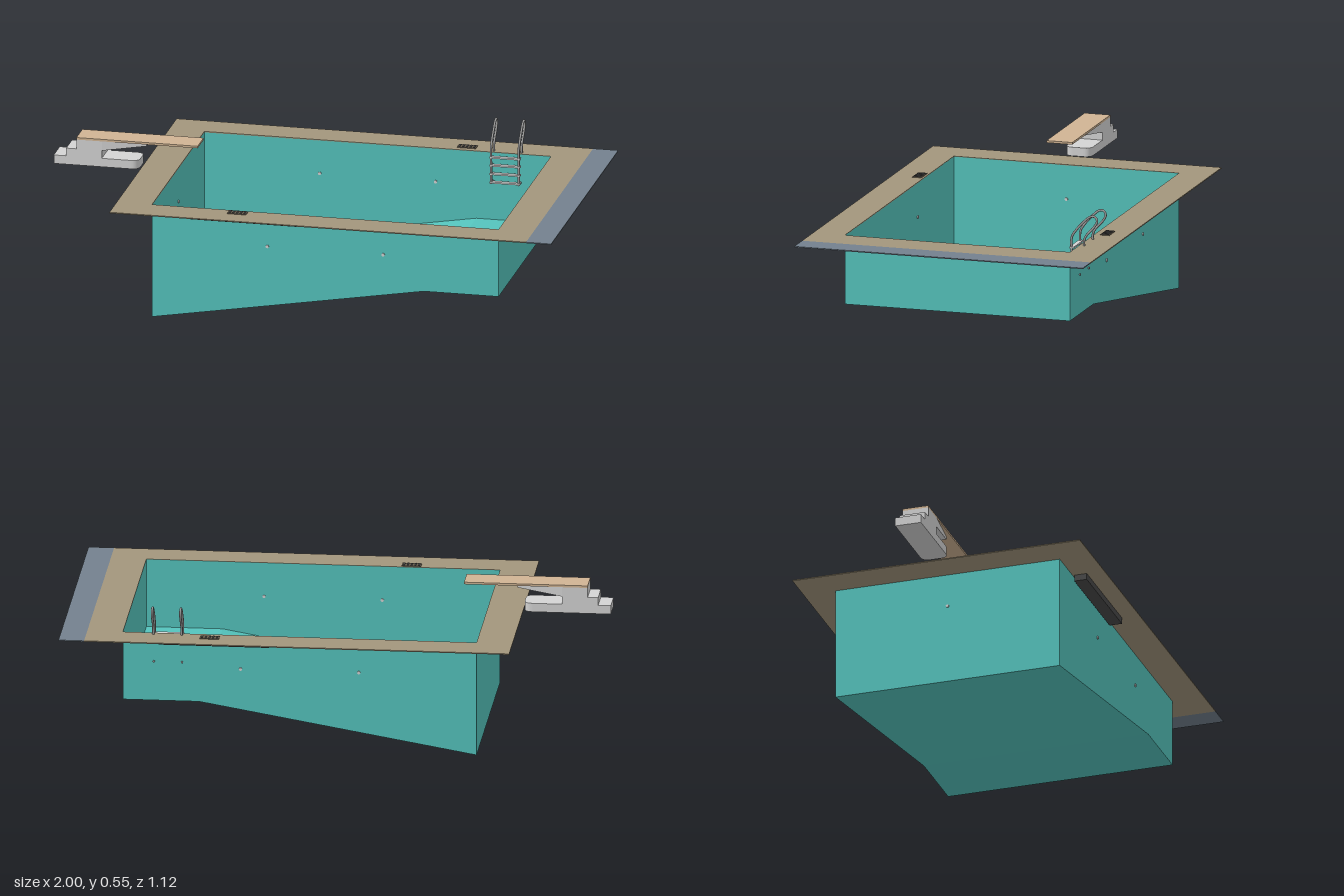
import * as THREE from 'three';

const mat = (name, color, side = THREE.FrontSide) => {
  const m = new THREE.MeshStandardMaterial({ color, side });
  m.name = name;
  return m;
};

export function createModel() {
  const group = new THREE.Group();
  const teal = mat('pool teal', 0x55c4bd, THREE.DoubleSide);
  const stone = mat('deck stone', 0xa3967c);
  const slate = mat('slate', 0x74818e);
  const white = mat('stand white', 0xd4d4d4);
  const wood = mat('board tan', 0xd0b494);
  const metal = mat('metal', 0x9a9a9a);
  const dark = mat('drain dark', 0x4a4a4a);
  const grate = mat('grate brown', 0x675e4f);

  const add = (name, geo, material, x = 0, y = 0, z = 0, parent = group) => {
    const mesh = new THREE.Mesh(geo, material);
    mesh.name = name;
    mesh.position.set(x, y, z);
    parent.add(mesh);
    return mesh;
  };
  const box = (name, m, x0, x1, y0, y1, z0, z1, parent) =>
    add(name, new THREE.BoxGeometry(x1 - x0, y1 - y0, z1 - z0), m,
      (x0 + x1) / 2, (y0 + y1) / 2, (z0 + z1) / 2, parent);
  const polygon = (pts) => new THREE.Shape(pts.map(([x, y]) => new THREE.Vector2(x, y)));
  const rect = (x0, x1, y0, y1) => [[x0, y0], [x1, y0], [x1, y1], [x0, y1]];

  const top = 0.436, x0 = -0.54, x1 = 0.773, half = 0.437;

  // Pool shell: open at the top, with a sloping floor
  const profile = [[x0, top], [x0, 0], [0.49, 0.175], [x1, 0.175], [x1, top]];
  for (const s of [-1, 1]) {
    add(s > 0 ? 'frontWall' : 'backWall', new THREE.ShapeGeometry(polygon(profile)), teal, 0, 0, s * half);
  }
  ['deepEndWall', 'slopedFloor', 'shallowFloor', 'shallowEndWall'].forEach((name, i) => {
    const [ax, ay] = profile[i], [bx, by] = profile[i + 1];
    const geo = new THREE.BufferGeometry();
    geo.setAttribute('position', new THREE.Float32BufferAttribute(
      [ax, ay, half, bx, by, half, bx, by, -half, ax, ay, -half], 3));
    geo.setIndex([0, 1, 2, 0, 2, 3]);
    geo.computeVertexNormals();
    add(name, geo, teal);
  });

  // Paved surround and slate strip
  const surround = polygon(rect(-0.673, 0.905, -0.56, 0.56));
  surround.holes.push(polygon(rect(x0, x1, -half, half)));
  const deckGeo = new THREE.ExtrudeGeometry(surround, { depth: 0.004, bevelEnabled: false });
  add('deck', deckGeo.rotateX(-Math.PI / 2), stone, 0, top - 0.003, 0);
  box('slateStrip', slate, 0.905, 1, top - 0.003, top + 0.001, -0.56, 0.56);

  // Drain troughs under the deck, each with a slotted grate above
  for (const [name, s, cx, gx, gz] of [['front', 1, -0.185, -0.21, 0.463], ['back', -1, 0.43, 0.447, -0.478]]) {
    box(name + 'Trough', dark, cx - 0.205, cx + 0.205, 0.409, top - 0.003,
      Math.min(s * 0.444, s * 0.492), Math.max(s * 0.444, s * 0.492));
    box(name + 'GratePlate', grate, gx - 0.036, gx + 0.036, top, top + 0.003, gz - 0.018, gz + 0.018);
    for (let i = -2; i <= 2; i++) {
      box(name + 'GrateBar', dark, gx + i * 0.014 - 0.003, gx + i * 0.014 + 0.003,
        top + 0.002, top + 0.005, gz - 0.014, gz + 0.014);
    }
  }

  // Diving board: rounded base, steps, tapered bracket and plank
  const diving = new THREE.Group();
  diving.name = 'divingBoard';
  group.add(diving);
  const w = 0.05;
  const basePlan = new THREE.Shape();
  basePlan.moveTo(-1, -w);
  basePlan.lineTo(-0.71, -w);
  basePlan.quadraticCurveTo(-0.678, -w, -0.678, -0.02);
  basePlan.lineTo(-0.678, 0.02);
  basePlan.quadraticCurveTo(-0.678, w, -0.71, w);
  basePlan.lineTo(-1, w);
  const baseGeo = new THREE.ExtrudeGeometry(basePlan, { depth: 0.033, bevelEnabled: false });
  add('base', baseGeo.rotateX(-Math.PI / 2), white, 0, 0.437, 0, diving);
  box('lowerStep', white, -0.953, -0.818, 0.47, 0.5, -w, w, diving);
  box('upperStep', white, -0.914, -0.818, 0.5, 0.536, -w, w, diving);
  const bracket = new THREE.ExtrudeGeometry(
    polygon([[-0.818, 0.5], [-0.652, 0.524], [-0.652, 0.536], [-0.818, 0.536]]),
    { depth: 2 * w, bevelEnabled: false }).translate(0, 0, -w);
  const p = bracket.attributes.position;
  for (let i = 0; i < p.count; i++) if (p.getX(i) > -0.7) p.setZ(i, p.getZ(i) * 0.65);
  bracket.computeVertexNormals();
  add('bracket', bracket, white, 0, 0, 0, diving);
  box('plank', wood, -0.914, -0.455, 0.536, 0.544, -w, w, diving);

  // Ladder: two looped rails, treads and wall anchors
  const ladder = new THREE.Group();
  ladder.name = 'ladder';
  group.add(ladder);
  const railPath = [[0.325, -0.407], [0.4, -0.407], [0.465, -0.407], [0.49, -0.421], [0.53, -0.457],
    [0.549, -0.482], [0.547, -0.499], [0.531, -0.505], [0.51, -0.494], [0.475, -0.463], [0.455, -0.455], [0.437, -0.455]];
  for (const x of [0.553, 0.658]) {
    const curve = new THREE.CatmullRomCurve3(railPath.map(([y, z]) => new THREE.Vector3(x, y, z)));
    add('rail', new THREE.TubeGeometry(curve, 48, 0.0045, 8), metal, 0, 0, 0, ladder);
    add('anchor', new THREE.CylinderGeometry(0.004, 0.004, 0.037, 10).rotateX(Math.PI / 2), metal, x, 0.326, -0.424, ladder);
  }
  for (const y of [0.33, 0.363, 0.396, 0.427]) {
    box('tread', white, 0.548, 0.664, y - 0.003, y + 0.003, -0.417, -0.4, ladder);
  }

  // Water jets set through the walls
  const jet = (x, z, alongX) => {
    const geo = new THREE.CylinderGeometry(0.006, 0.006, 0.008, 16);
    if (alongX) geo.rotateZ(Math.PI / 2); else geo.rotateX(Math.PI / 2);
    add('waterJet', geo, white, x, 0.306, z);
  };
  for (const s of [-1, 1]) for (const x of [-0.103, 0.336]) jet(x, s * half, false);
  jet(x0, 0, true);

  return group;
}
